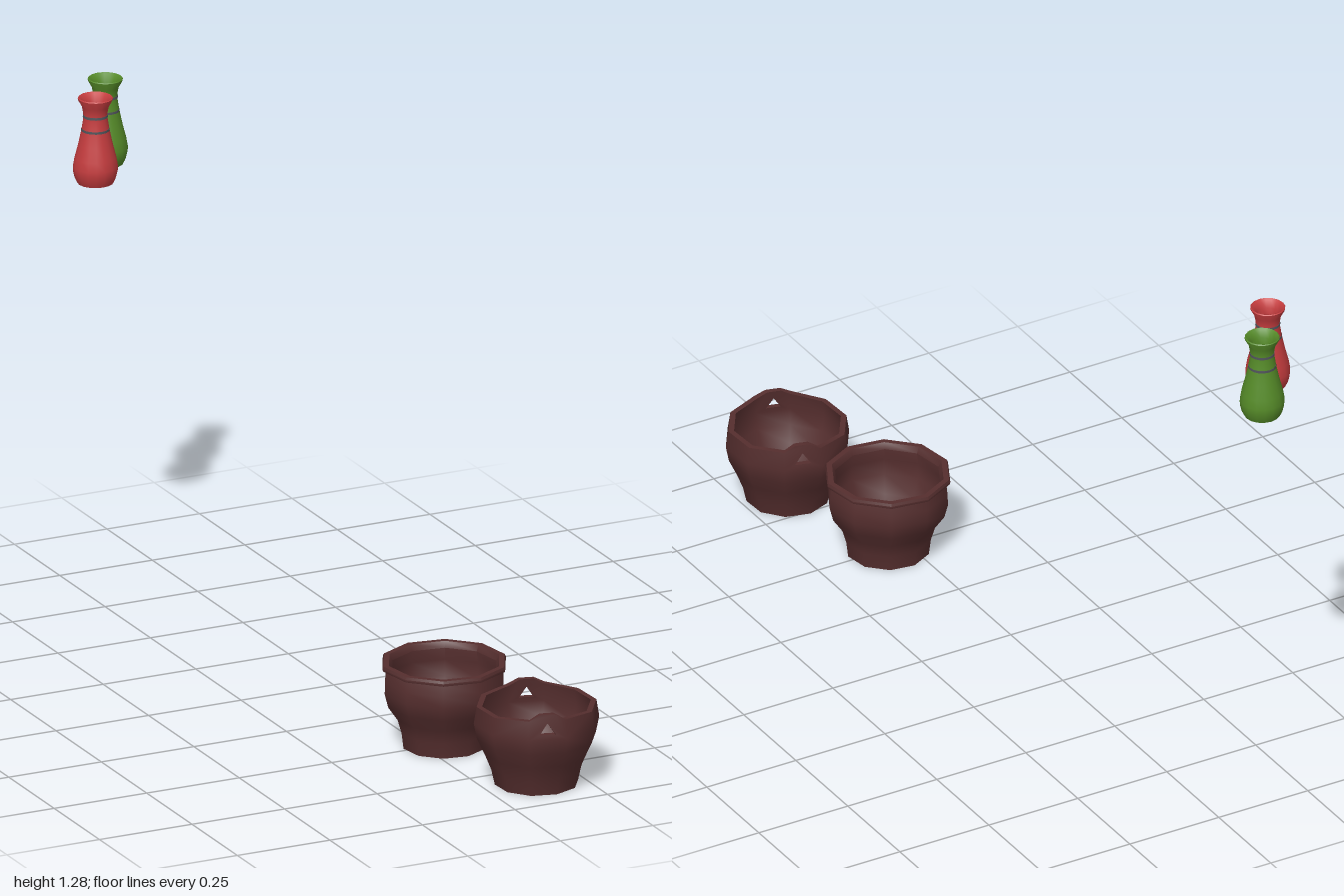
import * as THREE from 'three';
import { mergeGeometries, toCreasedNormals } from 'three/addons/utils/BufferGeometryUtils.js';

const SIDES = 10;
const HALF = Math.PI / SIDES;
const material = (color) => new THREE.MeshStandardMaterial({ color });
const vectors = (points) => points.map(([r, y]) => new THREE.Vector2(r, y));

function lathe(points, sides) {
  return new THREE.LatheGeometry(vectors(points), sides);
}

function addMesh(parent, name, geometry, mat) {
  const mesh = new THREE.Mesh(geometry, mat);
  mesh.name = name;
  parent.add(mesh);
  return mesh;
}

// Flat wall panel of the eared pot; u runs -1..1 across the facet
function wallPanel(index, eared) {
  const outline = eared
    ? [[-1, 0.16], [1, 0.16], [1, 0.207], [0.42, 0.221], [-0.42, 0.221], [-1, 0.207]]
    : [[-1, 0.16], [1, 0.16], [1, 0.203], [-1, 0.203]];
  if (!eared && index % 5 === 1) outline[3][1] = 0.207;
  if (!eared && index % 5 === 4) outline[2][1] = 0.207;
  const shape = new THREE.Shape(vectors(outline));
  if (eared) shape.holes.push(new THREE.Path(vectors([[-0.42, 0.172], [0, 0.2], [0.42, 0.172]])));

  const geometry = new THREE.ExtrudeGeometry(shape, { depth: 1, bevelEnabled: false });
  const pos = geometry.attributes.position;
  for (let i = 0; i < pos.count; i++) {
    const y = pos.getY(i);
    const radius = 0.155 - (y - 0.16) * 0.16 - 0.014 * (1 - pos.getZ(i));
    pos.setXYZ(i, pos.getX(i) * radius * Math.sin(HALF), y, radius * Math.cos(HALF));
  }
  return geometry.rotateY(HALF * (2 * index + 1));
}

// Pot with two raised, pierced ears
function earedPot(mat) {
  const outer = lathe([[0, 0], [0.103, 0], [0.112, 0.04], [0.128, 0.08], [0.147, 0.12], [0.155, 0.16]], SIDES);
  const inner = lathe([[0.141, 0.16], [0.133, 0.12], [0.114, 0.08], [0.1, 0.045], [0.09, 0.02], [0, 0.02]], SIDES);
  const parts = [outer.toNonIndexed(), inner.toNonIndexed()];
  for (let i = 0; i < SIDES; i++) parts.push(wallPanel(i, i % 5 === 0));
  const group = new THREE.Group();
  group.name = 'earedPot';
  addMesh(group, 'earedPotBody', toCreasedNormals(mergeGeometries(parts), 0.8), mat);
  group.rotation.y = -0.58;
  group.position.set(0.135, 0, 0.843);
  return group;
}

// Pot with a projecting lip
function lippedPot(mat) {
  const profile = [
    [0, 0], [0.103, 0], [0.108, 0.04], [0.118, 0.075], [0.142, 0.11], [0.151, 0.145], [0.15, 0.175],
    [0.144, 0.201], [0.155, 0.204], [0.157, 0.211], [0.154, 0.217], [0.14, 0.217], [0.132, 0.202],
    [0.138, 0.17], [0.136, 0.13], [0.115, 0.085], [0.1, 0.05], [0.09, 0.02], [0, 0.02],
  ];
  const group = new THREE.Group();
  group.name = 'lippedPot';
  addMesh(group, 'lippedPotBody', toCreasedNormals(lathe(profile, SIDES), 0.8), mat);
  group.rotation.y = 0.16;
  group.position.set(0.052, 0, 0.503);
  return group;
}

// Slim vase with a flared mouth and two painted rings
function vase(name, color, x, z, bandMat) {
  const profile = [
    [0, 0], [0.044, 0], [0.05, 0.012], [0.0545, 0.03], [0.055, 0.042], [0.051, 0.065], [0.042, 0.1],
    [0.034, 0.138], [0.03, 0.163], [0.0295, 0.178], [0.033, 0.196], [0.042, 0.212], [0.043, 0.217],
    [0.041, 0.219], [0.035, 0.216], [0.028, 0.198], [0.024, 0.178], [0.026, 0.15], [0.036, 0.1],
    [0.044, 0.06], [0.04, 0.015], [0, 0.015],
  ];
  const group = new THREE.Group();
  group.name = name;
  addMesh(group, name + 'Body', toCreasedNormals(lathe(profile, 16), 0.9), material(color));
  [[0.137, 0.0342], [0.172, 0.0302]].forEach(([y, r], i) => {
    const ring = lathe([[r - 0.003, -0.003], [r + 0.0006, -0.003], [r + 0.0002, 0.003], [r - 0.003, 0.003]], 16);
    addMesh(group, name + 'Ring' + (i + 1), toCreasedNormals(ring, 0.9), bandMat).position.y = y;
  });
  group.position.set(x, 1.066, z);
  return group;
}

export function createModel() {
  const model = new THREE.Group();
  model.name = 'potsAndVases';
  const clay = material(0x552e2e);
  const band = material(0x50545a);
  model.add(
    earedPot(clay),
    lippedPot(clay),
    vase('redVase', 0xc43c3e, -0.237, -0.83, band),
    vase('greenVase', 0x558a28, -0.154, -0.945, band),
  );
  return model;
}
